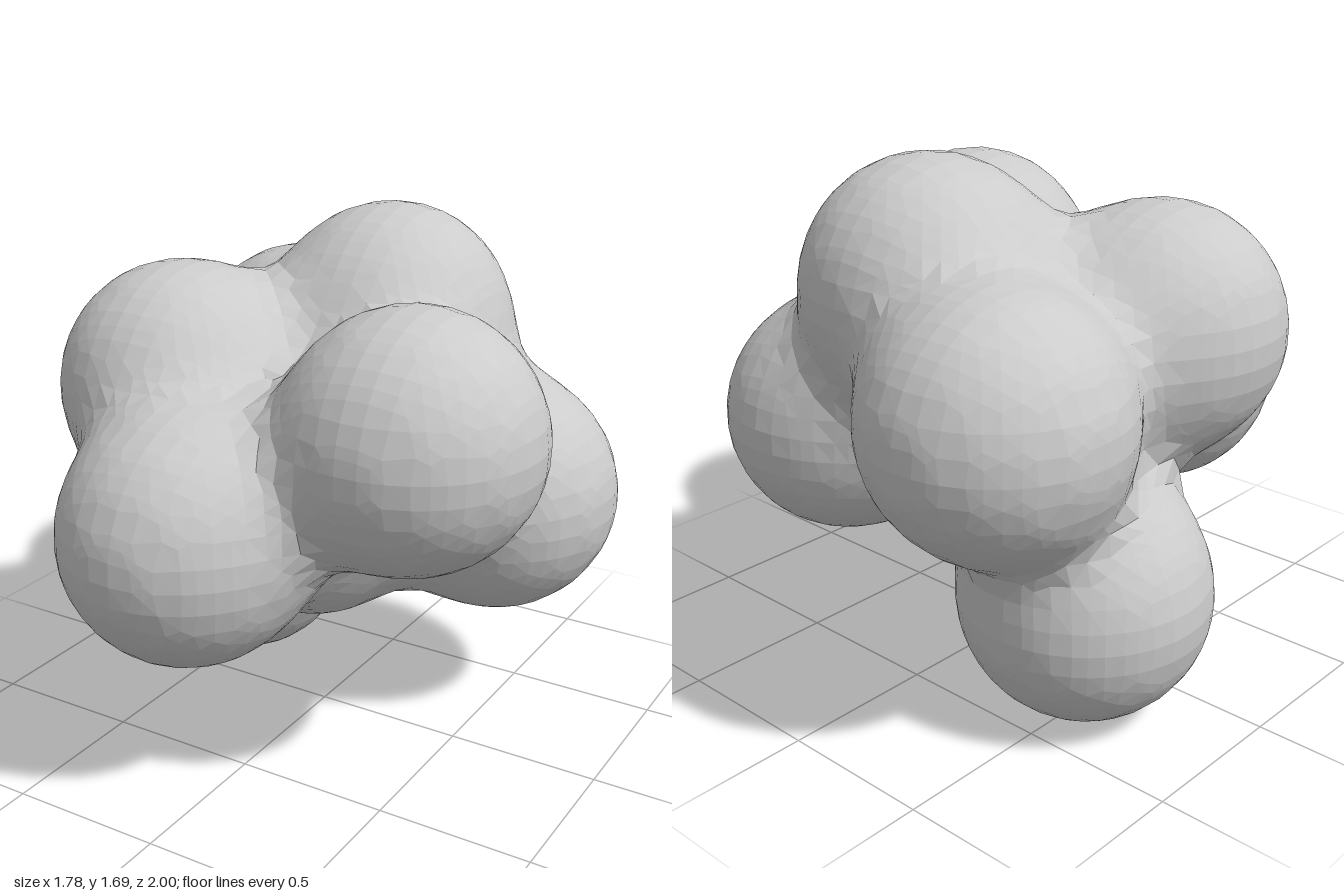
import * as THREE from 'three';

// Lobes of the cluster: x, y, z, radius; the last two are the hidden core
const LOBES = [
  [0.49, 1.15, 0.315, 0.395],
  [-0.12, 0.82, 0.605, 0.395],
  [-0.44, 1.14, 0.17, 0.395],
  [0.06, 1.295, -0.34, 0.395],
  [-0.46, 1.04, -0.605, 0.395],
  [-0.5, 0.395, -0.25, 0.395],
  [0.47, 0.77, -0.345, 0.395],
  [0, 0.9, -0.1, 0.32],
  [0, 0.68, 0.04, 0.28],
];
const BLEND = 0.088; // width of the fillets between lobes
const CELL = 0.07; // facet size

// Smoothly blended distance to all lobes, negative inside
function field(x, y, z) {
  let sum = 0;
  for (const [cx, cy, cz, r] of LOBES) {
    sum += Math.exp((r - Math.hypot(x - cx, y - cy, z - cz)) / BLEND);
  }
  return -BLEND * Math.log(sum);
}

// Slide a point along the gradient onto the surface
function project(p) {
  const e = 0.001;
  for (let i = 0; i < 3; i++) {
    const f = field(p.x, p.y, p.z);
    const g = new THREE.Vector3(
      field(p.x + e, p.y, p.z) - f,
      field(p.x, p.y + e, p.z) - f,
      field(p.x, p.y, p.z + e) - f,
    ).divideScalar(e);
    const step = -f / Math.max(g.lengthSq(), 0.5);
    p.addScaledVector(g, THREE.MathUtils.clamp(step, -CELL / 4, CELL / 4));
  }
  return p;
}

// Skin the field: one vertex per crossed cell, one quad per crossed grid edge
function skinGeometry() {
  const n = 32;
  const min = [-n * CELL / 2, 0.85 - n * CELL / 2, -n * CELL / 2];
  const stride = [1, n + 1, (n + 1) * (n + 1)];
  const at = (i, j, k) => i + j * stride[1] + k * stride[2];
  const values = [];
  for (let k = 0; k <= n; k++) for (let j = 0; j <= n; j++) for (let i = 0; i <= n; i++) {
    values.push(field(min[0] + i * CELL, min[1] + j * CELL, min[2] + k * CELL));
  }

  const points = [];
  const vertexOf = new Map();
  for (let k = 0; k < n; k++) for (let j = 0; j < n; j++) for (let i = 0; i < n; i++) {
    const p = new THREE.Vector3();
    let count = 0;
    // Average the crossings on the twelve edges of the cell
    for (let corner = 0; corner < 8; corner++) for (let axis = 0; axis < 3; axis++) {
      if (corner & (1 << axis)) continue;
      const c = [i + (corner & 1), j + ((corner >> 1) & 1), k + (corner >> 2)];
      const a = values[at(...c)], b = values[at(...c) + stride[axis]];
      if ((a < 0) === (b < 0)) continue;
      c[axis] += a / (a - b);
      p.add(new THREE.Vector3(...c));
      count++;
    }
    if (!count) continue;
    p.multiplyScalar(CELL / count).add(new THREE.Vector3(...min));
    vertexOf.set(at(i, j, k), points.length);
    points.push(project(p));
  }

  const indices = [];
  for (let k = 1; k < n; k++) for (let j = 1; j < n; j++) for (let i = 1; i < n; i++) {
    const id = at(i, j, k);
    for (let axis = 0; axis < 3; axis++) {
      const inside = values[id] < 0;
      if (inside === (values[id + stride[axis]] < 0)) continue;
      const u = stride[(axis + 1) % 3], v = stride[(axis + 2) % 3];
      const quad = [id - u - v, id - v, id, id - u].map((c) => vertexOf.get(c));
      if (!inside) quad.reverse();
      // Split along the shorter diagonal
      const [a, b, c, d] = quad;
      if (points[a].distanceTo(points[c]) < points[b].distanceTo(points[d])) {
        indices.push(a, b, c, a, c, d);
      } else {
        indices.push(a, b, d, b, c, d);
      }
    }
  }

  const geometry = new THREE.BufferGeometry().setFromPoints(points);
  geometry.setIndex(indices);
  geometry.computeVertexNormals();
  return geometry;
}

export function createModel() {
  const group = new THREE.Group();
  group.name = 'lobedCluster';
  const material = new THREE.MeshStandardMaterial({ color: 0xcccccc, flatShading: true });
  const skin = new THREE.Mesh(skinGeometry(), material);
  skin.name = 'blendedLobes';
  group.add(skin);
  return group;
}
